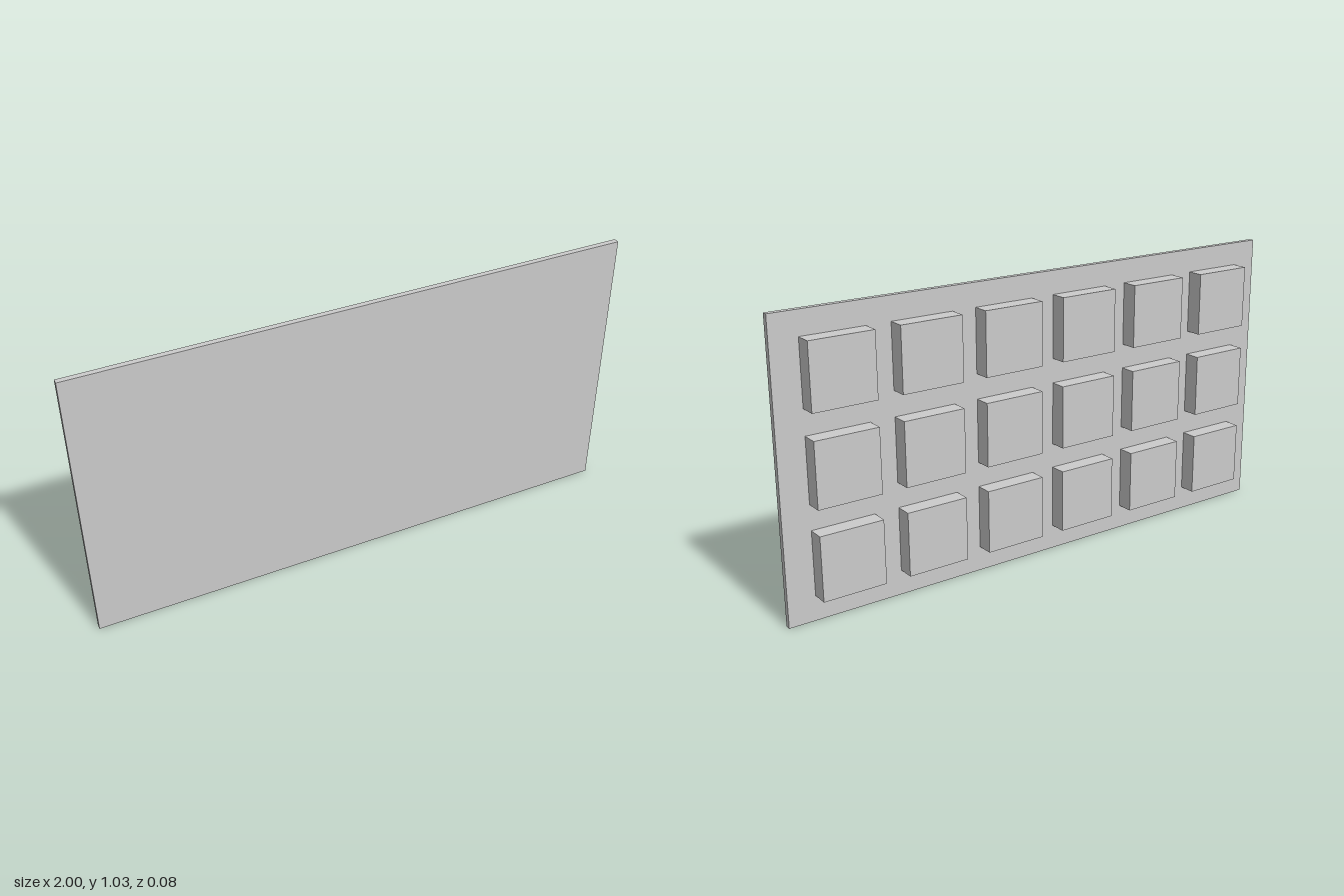
import * as THREE from 'three';

const WIDTH = 2, HEIGHT = 1.03;
const PANEL_DEPTH = 0.02, BLOCK_DEPTH = 0.06;
const BLOCK_SIZE = 0.227, PITCH = 0.3155;
const COLUMNS = 6, ROWS = 3;

export function createModel() {
  const model = new THREE.Group();
  model.name = 'studdedPanel';
  const material = new THREE.MeshStandardMaterial({ color: 0xcccccc });

  // Thin flat panel at the front
  const panel = new THREE.Mesh(new THREE.BoxGeometry(WIDTH, HEIGHT, PANEL_DEPTH), material);
  panel.name = 'panel';
  panel.position.set(0, HEIGHT / 2, 0.03);
  model.add(panel);

  // Grid of square blocks on the back
  const blocks = new THREE.Group();
  blocks.name = 'backBlocks';
  const blockGeometry = new THREE.BoxGeometry(BLOCK_SIZE, BLOCK_SIZE, BLOCK_DEPTH);
  for (let row = 0; row < ROWS; row++) {
    for (let column = 0; column < COLUMNS; column++) {
      const block = new THREE.Mesh(blockGeometry, material);
      block.name = `block_${row + 1}_${column + 1}`;
      block.position.set(
        (column - (COLUMNS - 1) / 2) * PITCH,
        HEIGHT / 2 + 0.002 + (row - (ROWS - 1) / 2) * PITCH,
        -0.01
      );
      blocks.add(block);
    }
  }
  model.add(blocks);

  return model;
}
